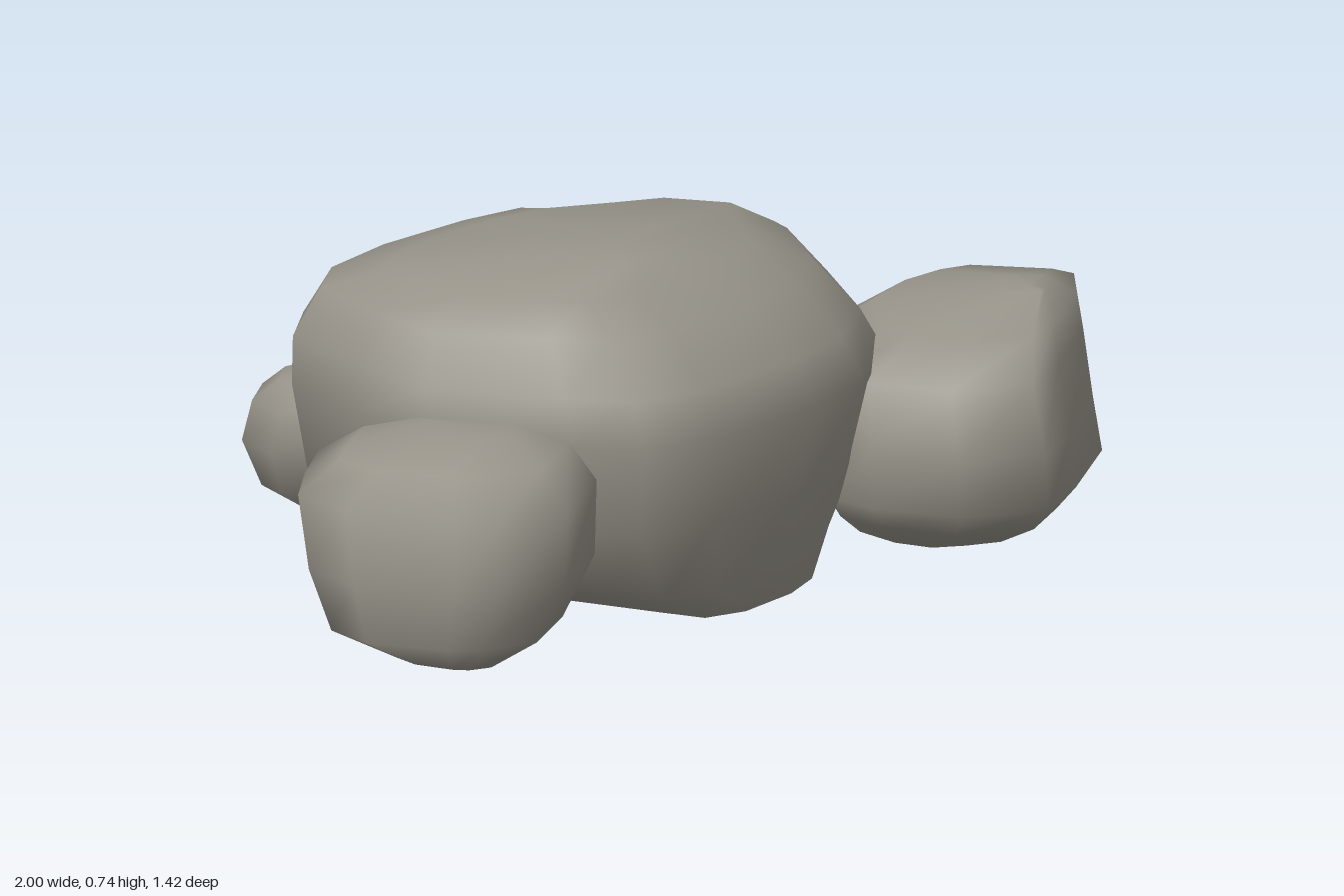
import * as THREE from 'three';

const stone = new THREE.MeshStandardMaterial({ color: 0x98948a });
stone.name = 'warm grey stone';

// A boulder: one plan outline [x, z], refitted at every level to [y, xMin, xMax, zMin, zMax].
// heightRule may lower part of a level.
function boulder(name, outline, levels, { flatBase = false, heightRule = (x, y) => y } = {}) {
  const area = outline.reduce((sum, [x, z], i) => {
    const [nx, nz] = outline[(i + 1) % outline.length];
    return sum + x * nz - nx * z;
  }, 0);
  const plan = area > 0 ? [...outline].reverse() : outline;
  const xs = plan.map((p) => p[0]), zs = plan.map((p) => p[1]);
  const x0 = Math.min(...xs), x1 = Math.max(...xs);
  const z0 = Math.min(...zs), z1 = Math.max(...zs);
  const n = plan.length, positions = [], index = [];

  const addRing = ([y, xa, xb, za, zb]) => {
    const start = positions.length / 3;
    for (const [px, pz] of plan) {
      const x = xa + (xb - xa) * (px - x0) / (x1 - x0);
      const z = za + (zb - za) * (pz - z0) / (z1 - z0);
      positions.push(x, heightRule(x, y, z), z);
    }
    return start;
  };
  const addCap = (ring, [y, xa, xb, za, zb], up) => {
    const centre = positions.length / 3;
    positions.push((xa + xb) / 2, y, (za + zb) / 2);
    for (let i = 0; i < n; i++) {
      const a = ring + i, b = ring + (i + 1) % n;
      if (up) index.push(a, b, centre);
      else index.push(b, a, centre);
    }
  };

  // Sides
  const rings = levels.map(addRing);
  for (let k = 0; k + 1 < rings.length; k++) {
    for (let i = 0; i < n; i++) {
      const j = (i + 1) % n;
      const a = rings[k] + i, b = rings[k] + j, c = rings[k + 1] + j, d = rings[k + 1] + i;
      index.push(a, b, c, a, c, d);
    }
  }
  // Rounded top, and a base that is either rounded or cut flat with a sharp rim
  addCap(rings[rings.length - 1], levels[levels.length - 1], true);
  addCap(flatBase ? addRing(levels[0]) : rings[0], levels[0], false);

  const geometry = new THREE.BufferGeometry();
  geometry.setAttribute('position', new THREE.Float32BufferAttribute(positions, 3));
  geometry.setIndex(index);
  geometry.computeVertexNormals();
  const mesh = new THREE.Mesh(geometry, stone);
  mesh.name = name;
  return mesh;
}

// The main boulder's top falls away towards its back left corner
const mainTopSlope = (x, y, z) =>
  y - 0.4 * THREE.MathUtils.smoothstep(y, 0.45, 0.7) * Math.max(0, x - z - 0.45);

export function createModel() {
  const group = new THREE.Group();
  group.name = 'boulderCluster';

  group.add(boulder('mainBoulder', [
    [-0.69, 0], [-0.68, -0.24], [-0.56, -0.36], [-0.35, -0.43], [-0.08, -0.465], [0.09, -0.46],
    [0.3, -0.36], [0.46, -0.29], [0.6, -0.09], [0.52, 0.08], [0.42, 0.33], [0.27, 0.46],
    [0.09, 0.53], [-0.19, 0.58], [-0.37, 0.56], [-0.47, 0.45], [-0.67, 0.22],
  ], [
    [0, -0.29, 0.38, -0.35, 0.45],
    [0.08, -0.51, 0.43, -0.39, 0.51],
    [0.25, -0.66, 0.53, -0.44, 0.56],
    [0.44, -0.69, 0.6, -0.465, 0.58],
    [0.54, -0.685, 0.54, -0.46, 0.55],
    [0.64, -0.63, 0.45, -0.4, 0.44],
    [0.7, -0.55, 0.28, -0.22, 0.34],
    [0.735, -0.25, 0.01, 0.02, 0.26],
  ], { flatBase: true, heightRule: mainTopSlope }));

  group.add(boulder('frontLeftBoulder', [
    [1, 0.27], [0.975, 0.19], [0.81, 0], [0.72, -0.02], [0.58, 0], [0.4, 0.1],
    [0.27, 0.36], [0.29, 0.47], [0.4, 0.63], [0.575, 0.7], [0.71, 0.61], [0.9, 0.44],
  ], [
    [0.01, 0.46, 0.73, 0.08, 0.4],
    [0.05, 0.38, 0.84, 0.04, 0.52],
    [0.11, 0.3, 0.94, -0.01, 0.64],
    [0.16, 0.27, 1, -0.015, 0.68],
    [0.29, 0.245, 0.96, -0.015, 0.71],
    [0.43, 0.27, 0.95, 0.01, 0.655],
    [0.49, 0.42, 0.95, 0.08, 0.54],
    [0.53, 0.7, 0.82, 0.3, 0.42],
  ]));

  group.add(boulder('frontRightBoulder', [
    [-1, 0.21], [-0.9, 0.1], [-0.79, 0], [-0.69, 0.02], [-0.52, 0.1], [-0.44, 0.2],
    [-0.43, 0.35], [-0.45, 0.5], [-0.63, 0.64], [-0.78, 0.61], [-0.86, 0.55], [-0.99, 0.36],
  ], [
    [0.04, -0.86, -0.68, 0.28, 0.53],
    [0.1, -0.97, -0.52, 0.13, 0.6],
    [0.22, -0.985, -0.435, 0.03, 0.63],
    [0.38, -1, -0.43, 0, 0.64],
    [0.45, -0.92, -0.46, 0.1, 0.54],
    [0.48, -0.72, -0.54, 0.2, 0.4],
  ]));

  group.add(boulder('backLeftBoulder', [
    [0.54, -0.59], [0.4, -0.71], [0.27, -0.69], [0.12, -0.57], [0.07, -0.46],
    [0.1, -0.32], [0.25, -0.26], [0.42, -0.28], [0.52, -0.37],
  ], [
    [0.06, 0.22, 0.42, -0.56, -0.36],
    [0.1, 0.14, 0.48, -0.62, -0.3],
    [0.17, 0.09, 0.52, -0.69, -0.27],
    [0.27, 0.07, 0.54, -0.71, -0.255],
    [0.37, 0.12, 0.48, -0.63, -0.28],
    [0.41, 0.2, 0.42, -0.585, -0.34],
    [0.43, 0.28, 0.38, -0.55, -0.45],
  ]));

  group.add(boulder('backRightBoulder', [
    [-0.25, -0.5], [-0.31, -0.62], [-0.38, -0.65], [-0.46, -0.66], [-0.55, -0.58],
    [-0.56, -0.46], [-0.52, -0.32], [-0.41, -0.23], [-0.28, -0.34],
  ], [
    [0.06, -0.46, -0.34, -0.55, -0.42],
    [0.1, -0.52, -0.29, -0.62, -0.34],
    [0.2, -0.56, -0.25, -0.66, -0.26],
    [0.29, -0.55, -0.26, -0.64, -0.23],
    [0.34, -0.51, -0.3, -0.58, -0.26],
    [0.37, -0.45, -0.36, -0.5, -0.34],
  ]));

  return group;
}
